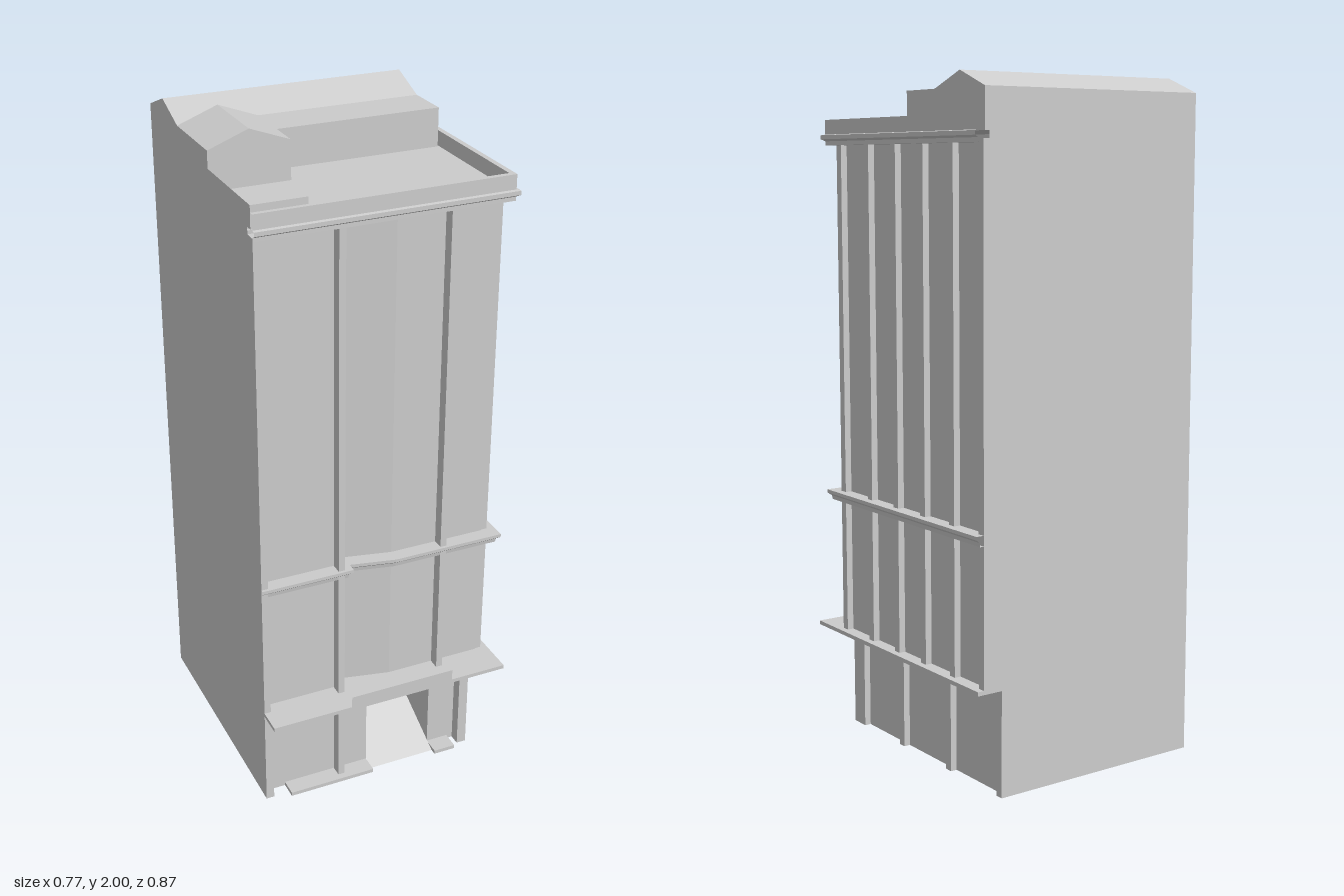
import * as THREE from 'three';

const material = new THREE.MeshStandardMaterial({ color: 0xcccccc, flatShading: true, side: THREE.DoubleSide });
const LEFT = -0.385, BACK = -0.435, DECK = 1.84;

export function createModel() {
  const model = new THREE.Group();

  const add = (name, geometry) => {
    const mesh = new THREE.Mesh(geometry, material);
    mesh.name = name;
    model.add(mesh);
    return mesh;
  };
  // Box given by its limits on each axis
  const box = (name, x0, x1, y0, y1, z0, z1) =>
    add(name, new THREE.BoxGeometry(x1 - x0, y1 - y0, z1 - z0)
      .translate((x0 + x1) / 2, (y0 + y1) / 2, (z0 + z1) / 2));
  const shape = (points) => new THREE.Shape(points.map(([a, b]) => new THREE.Vector2(a, b)));
  const extrude = (points, depth) =>
    new THREE.ExtrudeGeometry(shape(points), { depth, bevelEnabled: false });
  // Outline given as [z, y], turned to lie across the x axis
  const across = (points) => points.map(([z, y]) => [-z, y]);

  // Sweep a profile of [outward offset, y] along a plan path of [x, z] with mitred corners
  const sweep = (name, path, profile) => {
    const normals = path.slice(1).map(([x, z], i) => {
      const dx = x - path[i][0], dz = z - path[i][1], l = Math.hypot(dx, dz);
      return [-dz / l * -1 * -1, dx / l];
    });
    const positions = [], index = [], n = profile.length;
    path.forEach(([x, z], i) => {
      const a = normals[Math.max(i - 1, 0)], b = normals[Math.min(i, normals.length - 1)];
      const k = 1 + a[0] * b[0] + a[1] * b[1];
      const mx = (a[0] + b[0]) / k, mz = (a[1] + b[1]) / k;
      profile.forEach(([out, y]) => positions.push(x + mx * out, y, z + mz * out));
    });
    for (let i = 0; i < path.length - 1; i++) {
      for (let j = 0; j < n - 1; j++) {
        const p = i * n + j, q = p + n;
        index.push(p, q, q + 1, p, q + 1, p + 1);
      }
    }
    const geometry = new THREE.BufferGeometry();
    geometry.setAttribute('position', new THREE.Float32BufferAttribute(positions, 3));
    geometry.setIndex(index);
    const flat = geometry.toNonIndexed();
    flat.computeVertexNormals();
    return add(name, flat);
  };

  // Plain party walls at the back and the model's right-hand side
  add('backWall', new THREE.ShapeGeometry(shape([
    [LEFT, 0], [0.28, 0], [0.28, 0.32], [0.34, 0.32], [0.34, DECK], [0.355, DECK],
    [0.355, 1.955], [LEFT, 1.955],
  ])).translate(0, 0, BACK));
  add('sideWall', new THREE.ShapeGeometry(shape(across([
    [BACK, 0], [0.325, 0], [0.325, DECK], [0.347, DECK], [0.347, 1.905], [0.04, 1.905],
    [0.04, 1.955], [BACK, 1.955],
  ]))).rotateY(Math.PI / 2).translate(LEFT, 0, 0));

  // Street walls: ground floor with entrance recess, then the tower with its angled bay
  sweep('groundFloorWall', [
    [LEFT, 0.325], [-0.035, 0.325], [-0.035, 0.16], [0.18, 0.16], [0.18, 0.325],
    [0.28, 0.325], [0.28, BACK],
  ], [[0, 0], [0, 0.32]]);
  const towerPath = [
    [LEFT, 0.325], [-0.145, 0.325], [-0.145, 0.285], [0.04, 0.325], [0.34, 0.325], [0.34, BACK],
  ];
  sweep('towerWall', towerPath, [[0, 0.32], [0, 1.83]]);

  // Entrance ramp and low front steps
  add('entranceRamp', new THREE.BufferGeometry().copy(
    new THREE.PlaneGeometry(0.215, Math.hypot(0.2, 0.095))
      .rotateX(-Math.PI / 2 + Math.atan2(0.095, 0.2)).translate(0.0725, 0.0475, 0.26)));
  box('frontStep', -0.31, -0.035, 0, 0.012, 0.325, 0.38);
  box('frontStep', 0.18, 0.25, 0, 0.012, 0.325, 0.38);

  // Canopy around the two street sides, with an upright sign panel
  add('canopy', extrude([
    [LEFT, -0.437], [0.38, -0.437], [0.38, -BACK], [0.28, -BACK], [0.28, -0.27], [0.18, -0.27],
    [0.18, -0.15], [-0.035, -0.15], [-0.035, -0.27], [LEFT, -0.27],
  ], 0.012).rotateX(-Math.PI / 2).translate(0, 0.312, 0));
  add('canopyPanel', new THREE.PlaneGeometry(0.335, 0.045).translate(0.0325, 0.3365, 0.437));

  // Pilasters on the front
  for (const [x0, x1, z0] of [[LEFT, -0.365, 0.32], [-0.145, -0.125, 0.28], [0.185, 0.205, 0.32]]) {
    box('frontPilaster', x0, x1, 0.32, 1.82, z0, 0.36);
  }
  box('groundPilaster', LEFT, -0.36, 0, 0.315, 0.32, 0.36);
  box('groundPilaster', -0.145, -0.125, 0, 0.315, 0.32, 0.36);
  box('groundCornerPier', 0.27, 0.3, 0, 0.315, 0.3, 0.36);

  // Pilasters along the side
  for (const z of [0.31, 0.155, 0.01, -0.132, -0.28, -0.4225]) {
    box('sidePilaster', 0.335, 0.36, 0.32, 1.82, z - 0.0125, z + 0.0125);
  }
  for (const z of [0.0825, -0.17, -0.4225]) {
    box('groundSidePilaster', 0.275, 0.3, 0, 0.315, z - 0.0125, z + 0.0125);
  }

  // Middle cornice follows the tower plan; top cornice and parapet run straight
  sweep('middleCornice', towerPath, [
    [0, 0.73], [0.032, 0.73], [0.034, 0.742], [0.044, 0.75], [0.044, 0.76], [0, 0.76],
  ]);
  sweep('topCornice', [[LEFT, 0.325], [0.34, 0.325], [0.34, BACK]], [
    [-0.06, 1.81], [0.036, 1.81], [0.036, 1.822], [0.046, 1.828], [0.046, 1.84], [0.036, 1.842],
    [0.036, 1.885], [0.02, 1.885], [0.02, DECK],
  ]);
  box('raisedParapet', LEFT, -0.225, DECK, 1.905, 0.342, 0.347);

  // Roof deck and the rooftop rooms
  add('roofDeck', new THREE.PlaneGeometry(0.745, 0.785)
    .rotateX(-Math.PI / 2).translate(-0.0125, DECK, -0.0425));
  add('rearGableRoof', extrude(across([
    [BACK, DECK], [BACK, 1.955], [-0.32, 2], [-0.2, 1.955], [-0.2, DECK],
  ]), 0.74).rotateY(Math.PI / 2).translate(LEFT, 0, 0));
  add('gabledWing', extrude([
    [LEFT, DECK], [-0.145, DECK], [-0.145, 1.955], [-0.265, 2], [LEFT, 1.955],
  ], 0.24).translate(0, 0, -0.2));
  box('flatRoofRoom', -0.145, 0.355, DECK, 1.955, -0.2, -0.06);

  return model;
}
